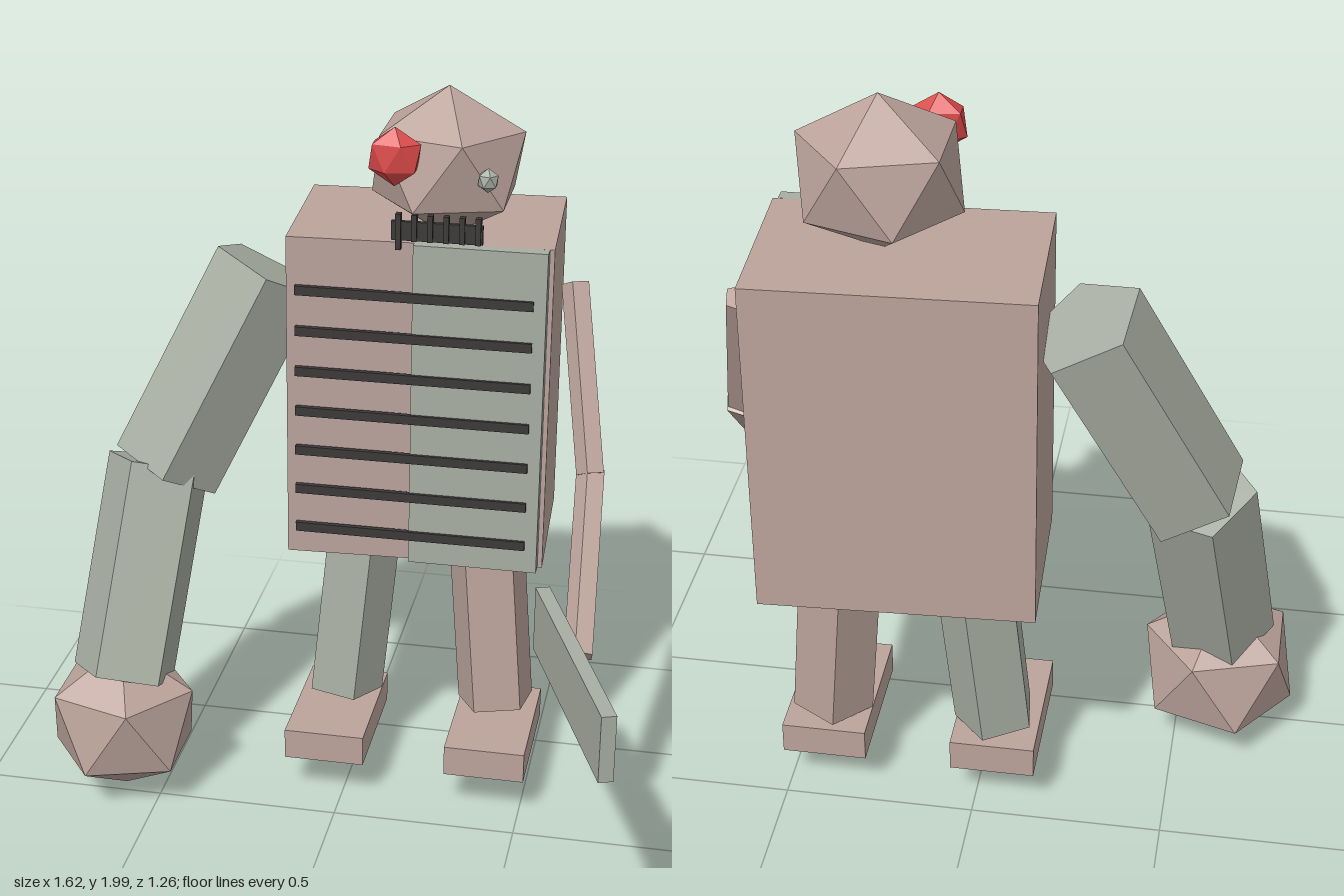
import * as THREE from 'three';

const paint = (name, color) => {
  const m = new THREE.MeshStandardMaterial({ color });
  m.name = name;
  return m;
};

export function createModel() {
  const model = new THREE.Group();
  model.name = 'patchworkRobot';
  const pink = paint('dustyPink', 0xbba39b);
  const green = paint('greyGreen', 0xa8aea2);
  const dark = paint('charcoal', 0x3c3838);
  const red = paint('red', 0xd94848);

  const add = (name, geometry, material, x = 0, y = 0, z = 0) => {
    const mesh = new THREE.Mesh(geometry, material);
    mesh.name = name;
    mesh.position.set(x, y, z);
    model.add(mesh);
    return mesh;
  };

  const box = (name, material, size, pos) =>
    add(name, new THREE.BoxGeometry(...size), material, ...pos);

  // Faceted ball standing on one of its points
  const ball = (name, material, radii, pos) => {
    const g = new THREE.IcosahedronGeometry(1, 0);
    g.rotateZ(-Math.atan(2 / (1 + Math.sqrt(5))));
    g.scale(...radii);
    g.computeVertexNormals();
    return add(name, g, material, ...pos);
  };

  // Five-sided bar from a to b, with one long edge facing the hint direction
  const limb = (name, material, a, b, radius, hint) => {
    const from = new THREE.Vector3(...a), to = new THREE.Vector3(...b);
    const y = to.clone().sub(from);
    const length = y.length();
    y.normalize();
    const z = new THREE.Vector3(...hint);
    z.addScaledVector(y, -z.dot(y)).normalize();
    const x = new THREE.Vector3().crossVectors(y, z);
    const g = new THREE.CylinderGeometry(radius, radius, length, 5).toNonIndexed();
    g.computeVertexNormals();
    g.applyMatrix4(new THREE.Matrix4().makeBasis(x, y, z));
    const mid = from.add(to).multiplyScalar(0.5);
    return add(name, g, material, mid.x, mid.y, mid.z);
  };

  // Torso, slightly turned, with a front panel and slats
  box('torso', pink, [0.69, 0.895, 0.445], [0.175, 1.183, -0.393]).rotation.y = 0.045;
  box('chestPanel', green, [0.345, 0.895, 0.035], [0.345, 1.183, -0.167]);
  for (let i = 0; i < 7; i++) {
    box('chestSlat', dark, [0.62, 0.025, 0.014], [0.175, 0.815 + i * 0.1125, -0.148]);
  }

  // Head, mismatched eyes and mouth with teeth
  ball('head', pink, [0.222, 0.2, 0.207], [0.23, 1.8, -0.335]);
  ball('rightEye', red, [0.075, 0.077, 0.04], [0.12, 1.855, -0.167]);
  ball('leftEye', green, [0.029, 0.032, 0.027], [0.355, 1.802, -0.185]);
  box('mouth', dark, [0.235, 0.05, 0.012], [0.232, 1.665, -0.162]);
  for (let i = 0; i < 6; i++) {
    box('tooth', dark, [0.014, i ? 0.07 : 0.095, 0.02],
      [0.133 + i * 0.041, i ? 1.675 : 1.663, -0.16]);
  }

  // Legs and feet
  for (const [side, sign, material] of [['left', 1, pink], ['right', -1, green]]) {
    const cx = 0.177;
    limb(side + 'Leg', material, [cx + sign * 0.22, 0.227, -0.35],
      [cx + sign * 0.165, 0.85, -0.392], 0.11, [-0.43 * sign, 0, 0.9]);
    box(side + 'Foot', pink, [0.222, 0.086, 0.378], [cx + sign * 0.225, 0.163, -0.276]);
  }

  // Heavy right arm with a faceted fist
  limb('rightUpperArm', green, [-0.257, 1.46, -0.38], [-0.52, 0.915, -0.25],
    0.157, [-0.1, 0.095, 0.05]);
  limb('rightForearm', green, [-0.54, 0.925, -0.25], [-0.605, 0.36, -0.05],
    0.147, [-0.31, 0, 0.95]);
  ball('rightFist', pink, [0.224, 0.22, 0.217], [-0.61, 0.23, -0.042]);

  // Thin left arm with a flat blade
  limb('leftUpperArm', pink, [0.567, 1.47, -0.4], [0.65, 1.03, -0.17],
    0.039, [-0.2, 0.5, 0.9]);
  limb('leftForearm', pink, [0.65, 1.03, -0.18], [0.672, 0.68, 0.18],
    0.04, [-0.2, 0.5, 0.9]);
  box('blade', green, [0.038, 0.18, 0.67], [0.67, 0.68, 0.307]).rotation.y = 0.357;

  return model;
}
